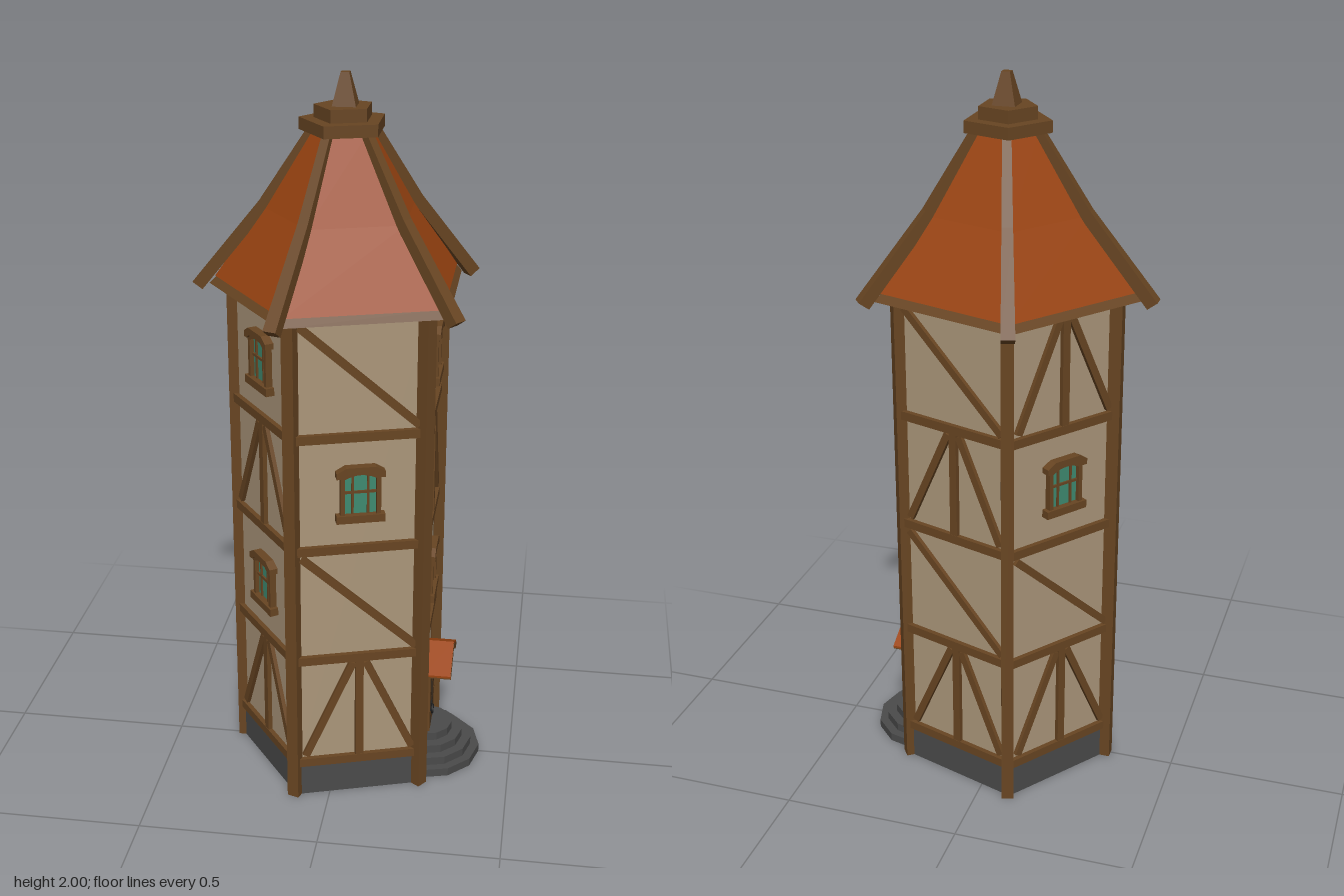
import * as THREE from 'three';

const CX = 0.003, R = 0.303;
const APO = R * Math.cos(Math.PI / 5);
const HALF = R * Math.sin(Math.PI / 5);
const RAILS = [0.108, 0.438, 0.775, 1.1, 1.43];

export function createModel() {
  const model = new THREE.Group();
  model.name = 'timberTower';

  const mat = (name, color, side = THREE.FrontSide) => {
    const m = new THREE.MeshStandardMaterial({ color, side });
    m.name = name;
    return m;
  };
  const wood = mat('timber brown', 0x684522);
  const plaster = mat('plaster beige', 0xab967a, THREE.DoubleSide);
  const tile = mat('roof orange', 0x9a4411, THREE.DoubleSide);
  const stone = mat('stone grey', 0x4a4a4a, THREE.DoubleSide);
  const glass = mat('window teal', 0x3f8a70);
  const iron = mat('dark iron', 0x222222);

  const add = (parent, name, geo, material, x = 0, y = 0, z = 0) => {
    const m = new THREE.Mesh(geo, material);
    m.name = name;
    m.position.set(x, y, z);
    parent.add(m);
    return m;
  };
  const box = (parent, name, w, h, d, x, y, z, material = wood) =>
    add(parent, name, new THREE.BoxGeometry(w, h, d), material, x, y, z);
  const flat = (geo) => {
    const g = geo.toNonIndexed();
    g.computeVertexNormals();
    return g;
  };
  // Five-sided ring or block with one corner towards -x
  const penta = (name, rBottom, rTop, y0, y1, material, open = false) =>
    add(model, name, flat(new THREE.CylinderGeometry(rTop, rBottom, y1 - y0, 5, 1, open, -Math.PI / 2)),
      material, CX, (y0 + y1) / 2, 0);
  const poly = (pts) => new THREE.Shape(pts.map((p) => new THREE.Vector2(...p)));
  const extrude = (shape, depth, curveSegments = 8) =>
    new THREE.ExtrudeGeometry(shape, { depth, bevelEnabled: false, curveSegments });

  // Body shells, open underneath
  penta('stonePlinth', R + 0.004, R + 0.004, 0, 0.096, stone, true);
  penta('plasterWalls', R - 0.003, R - 0.003, 0.096, 1.43, plaster, true);

  // Roof with a slight inward bend
  penta('eaveTrim', 0.368, 0.347, 1.425, 1.447, wood);
  penta('lowerRoof', 0.352, 0.215, 1.446, 1.64, tile, true);
  penta('upperRoof', 0.215, 0.083, 1.64, 1.855, tile, true);
  penta('roofCap', 0.119, 0.119, 1.85, 1.882, wood);
  penta('upperCap', 0.08, 0.08, 1.882, 1.916, wood);
  const finial = add(model, 'finial', flat(new THREE.CylinderGeometry(0.016, 0.044, 0.084, 4)), wood, CX + 0.003, 1.958, 0);
  finial.rotation.y = Math.PI / 4;

  // Timber between two points on a wall face
  const brace = (parent, x0, y0, x1, y1) => {
    const len = Math.hypot(x1 - x0, y1 - y0);
    const b = box(parent, 'diagonalBrace', 0.021, len, 0.016, (x0 + x1) / 2, (y0 + y1) / 2, 0.001);
    b.rotation.z = -Math.atan2(x1 - x0, y1 - y0);
  };

  // Wall panel kinds, each drawn on a face whose local z points outward
  const archOutline = (w, bottom, side, top) => {
    const s = new THREE.Shape();
    s.moveTo(-w, bottom);
    s.lineTo(w, bottom);
    s.lineTo(w, side);
    s.quadraticCurveTo(0, top, -w, side);
    s.closePath();
    return s;
  };
  const panels = {
    fan(face, lo, hi) {
      box(face, 'middleStud', 0.023, hi - lo, 0.018, 0, (lo + hi) / 2, 0.001);
      for (const s of [-1, 1]) brace(face, s * 0.152, lo + 0.01, s * 0.018, hi - 0.005);
    },
    slant(face, lo, hi) {
      brace(face, -HALF + 0.02, hi - 0.01, HALF - 0.02, lo + 0.01);
    },
    window(face, lo, hi) {
      const win = new THREE.Group();
      win.name = 'window';
      win.position.y = (lo + hi) / 2;
      face.add(win);
      const frame = archOutline(0.055, -0.075, 0.06, 0.088);
      frame.holes.push(archOutline(0.043, -0.058, 0.046, 0.068));
      add(win, 'windowFrame', extrude(frame, 0.022), wood, 0, 0, -0.006);
      add(win, 'windowPane', extrude(archOutline(0.046, -0.06, 0.048, 0.07), 0.006), glass, 0, 0, -0.002);
      box(win, 'windowSill', 0.132, 0.022, 0.03, 0, -0.069, 0.007);
      const hood = poly([[-0.066, 0.05], [-0.05, 0.05], [-0.035, 0.061], [0.035, 0.061], [0.05, 0.05],
        [0.066, 0.05], [0.066, 0.066], [0.04, 0.081], [-0.04, 0.081], [-0.066, 0.066]]);
      add(win, 'windowHood', extrude(hood, 0.028), wood, 0, 0, -0.006);
      for (const x of [-0.021, 0.021]) box(win, 'uprightBar', 0.006, 0.118, 0.008, x, 0, 0.005);
      box(win, 'crossBar', 0.09, 0.007, 0.008, 0, 0.005, 0.005);
    },
    door(face) {
      const door = new THREE.Group();
      door.name = 'entrance';
      face.add(door);
      box(door, 'doorLeaf', 0.124, 0.215, 0.026, 0, 0.2025, 0.004);
      for (const x of [-0.021, 0.021]) box(door, 'plankGroove', 0.003, 0.2, 0.002, x, 0.2, 0.0172, iron);
      box(door, 'handlePlate', 0.018, 0.028, 0.006, -0.038, 0.17, 0.018, iron);
      add(door, 'handleRing', new THREE.TorusGeometry(0.012, 0.003, 6, 12), iron, -0.038, 0.16, 0.023);
      // Little gabled canopy
      const rafters = poly([[-0.1, 0.3], [-0.078, 0.3], [0, 0.344], [0.078, 0.3], [0.1, 0.3], [0.1, 0.31], [0, 0.36], [-0.1, 0.31]]);
      add(door, 'canopyFrame', extrude(rafters, 0.078), wood);
      const cover = poly([[-0.106, 0.307], [0, 0.36], [0.106, 0.307], [0.106, 0.313], [0, 0.367], [-0.106, 0.313]]);
      add(door, 'canopyRoof', extrude(cover, 0.077), tile);
      box(door, 'canopyTie', 0.17, 0.012, 0.02, 0, 0.306, 0.005);
      // Half-round steps
      [0.16, 0.135, 0.108, 0.078].forEach((r, i) => {
        add(door, 'step', flat(new THREE.CylinderGeometry(r, r, 0.024, 6, 1, false, -Math.PI / 2, Math.PI)),
          stone, 0, 0.012 + i * 0.024, 0);
      });
    },
  };

  // Panels from bottom storey to top, going round from the door side
  const layout = [
    ['door', 'window', 'fan', 'window'],
    ['fan', 'slant', 'window', 'slant'],
    ['fan', 'window', 'fan', 'window'],
    ['fan', 'slant', 'window', 'fan'],
    ['fan', 'slant', 'fan', 'slant'],
  ];
  layout.forEach((storeys, k) => {
    const a = k * Math.PI * 0.4;
    const face = new THREE.Group();
    face.name = 'wallFace';
    face.position.set(CX + APO * Math.cos(a), 0, APO * Math.sin(a));
    face.rotation.y = Math.PI / 2 - a;
    model.add(face);
    for (const y of RAILS) box(face, 'wallRail', HALF * 2, 0.025, 0.03, 0, y, -0.004);
    storeys.forEach((kind, i) => panels[kind](face, RAILS[i] + 0.012, RAILS[i + 1] - 0.012));
  });

  // Corner posts and bent ridge beams
  const profile = poly([[0.385, 1.41], [0.412, 1.43], [0.227, 1.658], [0.092, 1.862], [0.07, 1.845], [0.2, 1.64]]);
  for (let k = 0; k < 5; k++) {
    const corner = new THREE.Group();
    corner.name = 'corner';
    corner.position.x = CX;
    corner.rotation.y = -(k + 0.5) * Math.PI * 0.4;
    model.add(corner);
    box(corner, 'cornerPost', 0.034, 1.43, 0.034, R, 0.715, 0.005);
    const g = extrude(profile, 1);
    const p = g.attributes.position;
    for (let i = 0; i < p.count; i++) {
      const width = 0.02 + 0.04 * p.getX(i);
      p.setZ(i, (p.getZ(i) - 0.5) * width + 0.004);
    }
    g.computeVertexNormals();
    add(corner, 'ridgeBeam', g, wood);
  }
  return model;
}
